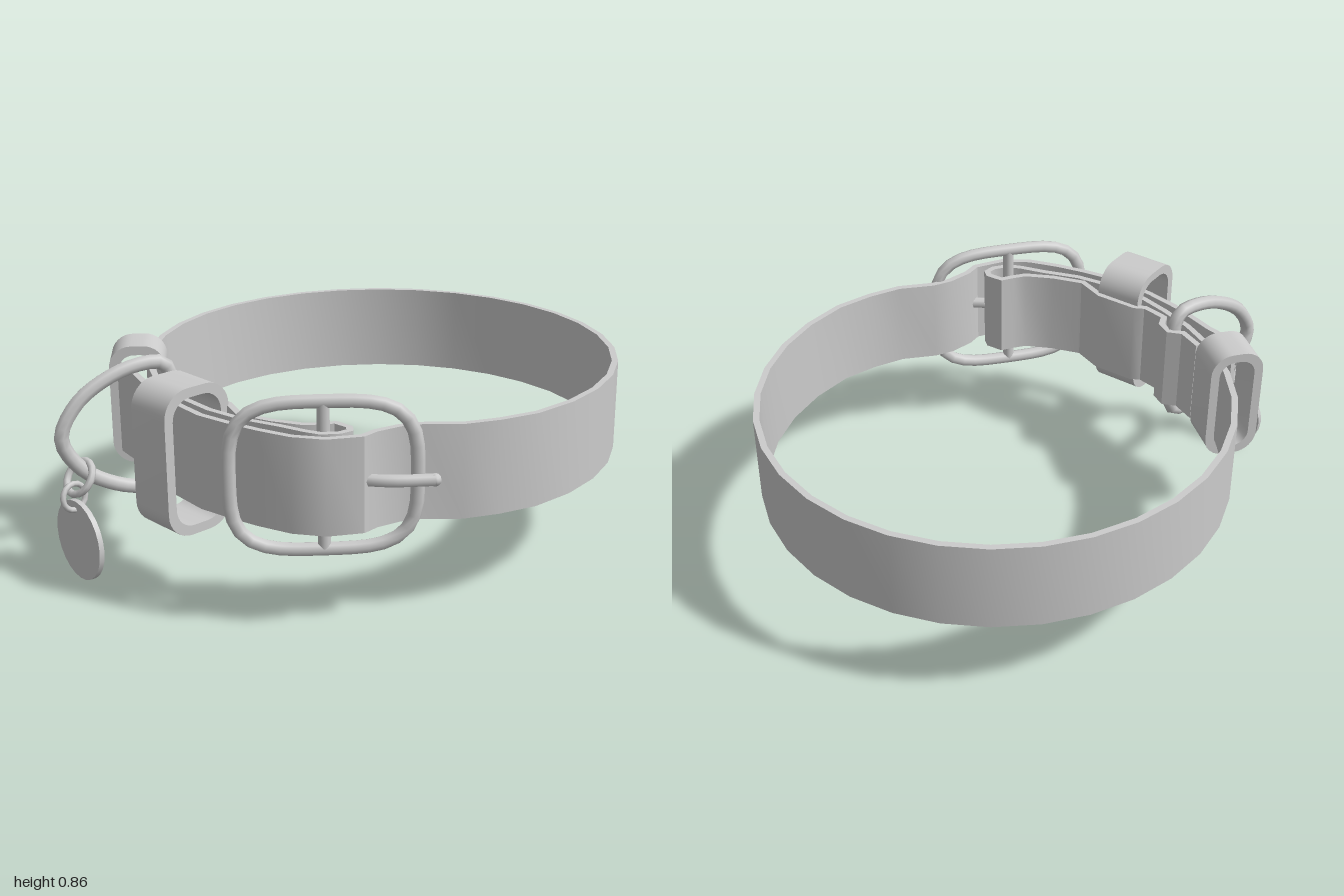
import * as THREE from 'three';
import { toCreasedNormals } from 'three/addons/utils/BufferGeometryUtils.js';

const MID = 0.562; // height of the strap's centre line

export function createModel() {
  const group = new THREE.Group();
  const mat = new THREE.MeshStandardMaterial({ color: 0xcccccc });
  const add = (name, geo, parent = group) => {
    const m = new THREE.Mesh(geo, mat);
    m.name = name;
    parent.add(m);
    return m;
  };
  const frame = (name, x, y, z, outX, outZ) => { // local x points along (outX, outZ)
    const g = new THREE.Group();
    g.name = name;
    g.position.set(x, y, z);
    g.rotation.y = Math.atan2(-outZ, outX);
    group.add(g);
    return g;
  };
  const loopTube = (pts, segs, r) => new THREE.TubeGeometry(
    new THREE.CatmullRomCurve3(pts.map(([x, y]) => new THREE.Vector3(x, y, 0)), true), segs, r, 8, true);

  // Strap: one ribbon from the tail, round the neck, round the buckle bar and back
  const path = [
    [-0.81, 0.49], [-0.70, 0.56], [-0.55, 0.69], [-0.42, 0.775], [-0.25, 0.86], [-0.12, 0.89],
    [0, 0.91], [0.13, 0.92], [0.245, 0.895], [0.345, 0.82], [0.365, 0.76], [0.42, 0.68],
    [0.48, 0.63], [0.61, 0.57], [0.71, 0.48],
  ];
  const steps = 21;
  for (let i = 0; i <= steps; i++) {
    const a = THREE.MathUtils.degToRad(30 - 233 * i / steps);
    path.push([0.025 + 0.9 * Math.cos(a), -0.085 + 0.9 * Math.sin(a)]);
  }
  path.push(
    [-0.71, 0.44], [-0.61, 0.56], [-0.5, 0.655], [-0.4, 0.73], [-0.25, 0.80], [-0.1, 0.838],
    [0.05, 0.846], [0.15, 0.858], [0.21, 0.858], [0.265, 0.825], [0.285, 0.79], [0.27, 0.762],
    [0.21, 0.742], [0.17, 0.77], [0.12, 0.80], [0, 0.81], [-0.13, 0.80], [-0.22, 0.715],
    [-0.375, 0.655], [-0.42, 0.66], [-0.505, 0.605], [-0.505, 0.55], [-0.54, 0.505],
    [-0.60, 0.505], [-0.672, 0.428]);
  add('strap', ribbon(path, 0.024, 0.35)).position.y = MID - 0.175;

  // Keeper loops
  const keeper = (name, x, y, z, outX, outZ, depth, height, width, radius) => {
    const wall = 0.035;
    const shape = roundedRect(new THREE.Shape(), depth, height, radius);
    shape.holes.push(roundedRect(new THREE.Path(), depth - 2 * wall, height - 2 * wall, radius - wall * 0.7));
    const geo = new THREE.ExtrudeGeometry(shape, { depth: width, bevelEnabled: false, curveSegments: 4 });
    geo.translate(0, 0, -width / 2);
    add(name, toCreasedNormals(geo, 0.7), frame(name + 'Group', x, y, z, outX, outZ));
  };
  keeper('frontKeeper', -0.35, 0.567, 0.825, -0.105, 0.26, 0.28, 0.545, 0.19, 0.1);
  keeper('sideKeeper', -0.802, 0.565, 0.373, -0.19, 0.105, 0.215, 0.47, 0.17, 0.085);

  // Buckle: bulging rounded frame, centre bar and prong
  const buckle = frame('buckle', 0.2, 0.567, 0.82, 0.58, -0.31);
  const outline = [];
  for (let i = 0; i < 32; i++) {
    const a = i / 32 * Math.PI * 2, c = Math.cos(a), s = Math.sin(a);
    const soft = v => Math.sign(v) * Math.abs(v) ** (2 / 3.6);
    outline.push([0.322 * soft(c), 0.27 * soft(s)]);
  }
  add('buckleFrame', loopTube(outline, 40, 0.025), buckle);
  add('buckleBar', new THREE.CylinderGeometry(0.023, 0.023, 0.53, 10), buckle);
  const prongPts = [[0.2, 0.81], [0.3, 0.805], [0.42, 0.778], [0.56, 0.703]]
    .map(([x, z]) => new THREE.Vector3(x, 0.57, z));
  add('buckleProng', new THREE.TubeGeometry(new THREE.CatmullRomCurve3(prongPts), 12, 0.023, 8));
  const tip = add('prongTip', new THREE.SphereGeometry(0.023, 8, 6));
  tip.position.copy(prongPts[3]);

  // D-ring: straight side held in the strap, round side outward
  const half = [[0.03, 0.235], [0.12, 0.24], [0.24, 0.205], [0.36, 0.125]];
  const dPts = [[0, -0.19], [0, 0], [0, 0.19], ...half, [0.425, 0],
    ...half.map(([x, y]) => [x, -y]).reverse()];
  add('dRing', loopTube(dPts, 40, 0.028), frame('dRingGroup', -0.56, 0.56, 0.54, -0.27, 0.33));

  // Linking rings
  const ring = (name, pos, normal, r, tube) => {
    const m = add(name, new THREE.TorusGeometry(r, tube, 8, 16));
    m.position.set(...pos);
    m.quaternion.setFromUnitVectors(new THREE.Vector3(0, 0, 1), new THREE.Vector3(...normal).normalize());
  };
  ring('splitRing', [-0.793, 0.4, 0.825], [-0.3, 0.55, 0.75], 0.066, 0.014);
  ring('tagLink', [-0.805, 0.33, 0.85], [0.88, 0.1, 0.3], 0.05, 0.011);

  // Hanging tag
  const tag = frame('tagGroup', -0.792, 0.16, 0.848, 0.275, 0.135);
  add('tag', new THREE.CylinderGeometry(0.155, 0.155, 0.02, 24).rotateX(Math.PI / 2), tag);

  return group;
}

// Upright band following a path in plan, with mitred corners
function ribbon(path, thickness, height) {
  const sides = [[], []];
  path.forEach((p, i) => {
    const point = new THREE.Vector2(p[0], -p[1]);
    const dir = (a, b) => new THREE.Vector2(b[0] - a[0], a[1] - b[1]).normalize();
    const d0 = i ? dir(path[i - 1], p) : dir(p, path[1]);
    const d1 = i < path.length - 1 ? dir(p, path[i + 1]) : d0;
    const t = d0.clone().add(d1).normalize();
    const off = new THREE.Vector2(-t.y, t.x).multiplyScalar(thickness / 2 / Math.max(t.dot(d0), 0.5));
    sides[0].push(point.clone().add(off));
    sides[1].push(point.clone().sub(off));
  });
  const shape = new THREE.Shape([...sides[0], ...sides[1].reverse()]);
  const geo = new THREE.ExtrudeGeometry(shape, { depth: height, bevelEnabled: false });
  geo.rotateX(-Math.PI / 2);
  return toCreasedNormals(geo, 0.6);
}

// Rounded rectangle centred on the origin
function roundedRect(s, w, h, r) {
  const x = w / 2, y = h / 2;
  s.moveTo(-x + r, -y);
  s.lineTo(x - r, -y);
  s.absarc(x - r, -y + r, r, -Math.PI / 2, 0, false);
  s.absarc(x - r, y - r, r, 0, Math.PI / 2, false);
  s.absarc(-x + r, y - r, r, Math.PI / 2, Math.PI, false);
  s.absarc(-x + r, -y + r, r, Math.PI, Math.PI * 1.5, false);
  return s;
}
